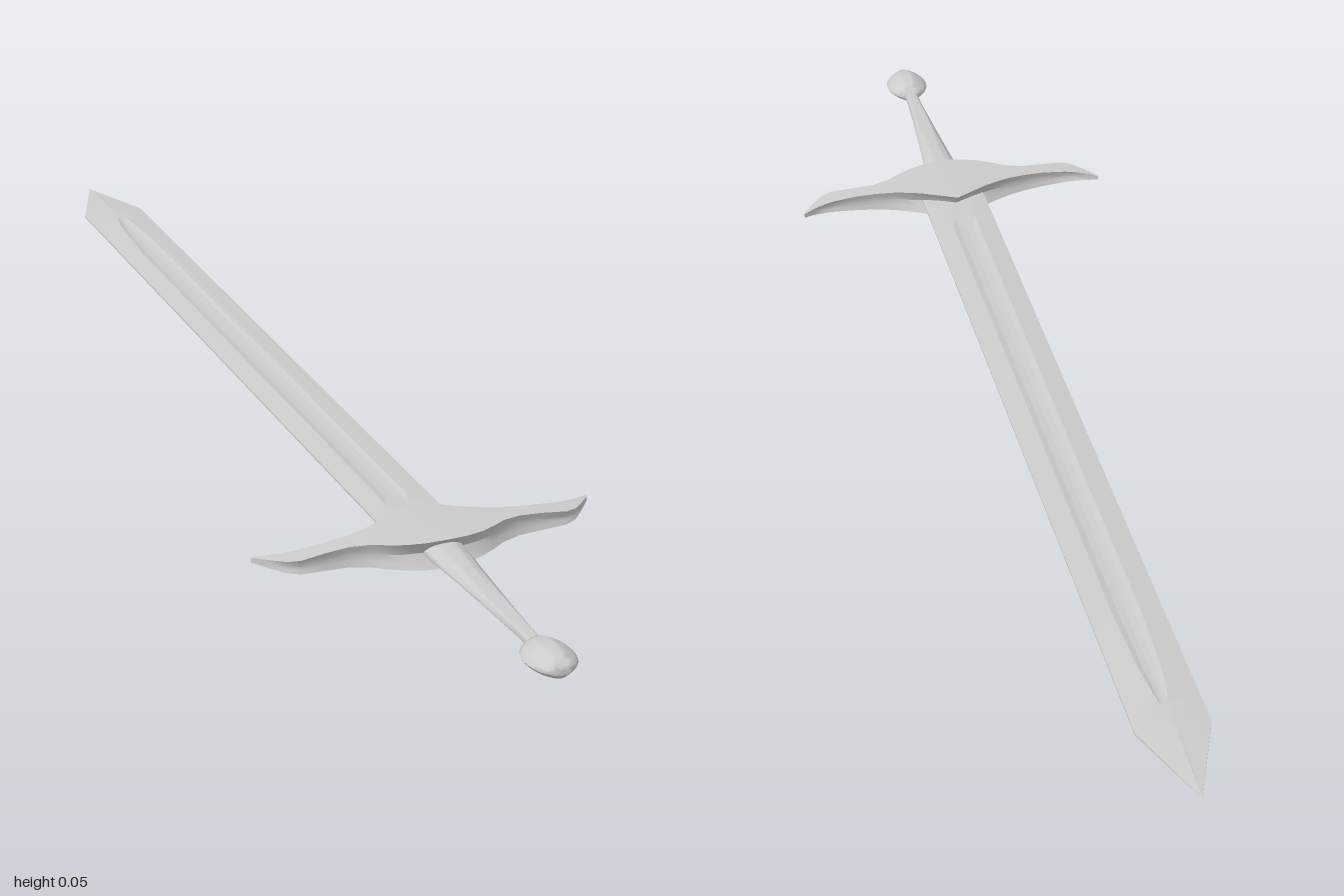
import * as THREE from 'three';
import { toCreasedNormals } from 'three/addons/utils/BufferGeometryUtils.js';

const MID = 0.024; // height of the sword's flat centre plane
const material = new THREE.MeshStandardMaterial({ color: 0xcccccc });

// Skin a list of closed rings of Vector3, with a fan cap at each end
function loft(name, rings, crease) {
  const n = rings[0].length, pos = [], index = [];
  rings.forEach((r) => r.forEach((p) => pos.push(p.x, p.y, p.z)));
  for (let i = 0; i < rings.length - 1; i++) {
    for (let j = 0; j < n; j++) {
      const a = i * n + j, b = i * n + (j + 1) % n;
      index.push(a, a + n, b, b, a + n, b + n);
    }
  }
  [0, rings.length - 1].forEach((i) => {
    const c = new THREE.Vector3();
    rings[i].forEach((p) => c.addScaledVector(p, 1 / n));
    const k = pos.length / 3;
    pos.push(c.x, c.y, c.z);
    for (let j = 0; j < n; j++) {
      const a = i * n + j, b = i * n + (j + 1) % n;
      if (i === 0) index.push(k, a, b);
      else index.push(k, b, a);
    }
  });
  const geo = new THREE.BufferGeometry();
  geo.setAttribute('position', new THREE.Float32BufferAttribute(pos, 3));
  geo.setIndex(index);
  const mesh = new THREE.Mesh(toCreasedNormals(geo, crease), material);
  mesh.name = name;
  return mesh;
}

// Soft diamond section of half width w and half height h
function softDiamond(z, w, h, power = 1.45) {
  const ring = [];
  for (let i = 0; i < 24; i++) {
    const a = (i / 24) * Math.PI * 2, c = Math.cos(a), s = Math.sin(a);
    ring.push(new THREE.Vector3(
      w * Math.sign(c) * Math.abs(c) ** power, MID + h * Math.sign(s) * Math.abs(s) ** power, z));
  }
  return ring;
}

// Blade: sharp edges, a raised ridge each side of a shallow fuller, diamond point
function blade() {
  // z, half width, ridge x, ridge height, centre height
  const stations = [
    [0.6, 0.055, 0.022, 0.005, 0.005],
    [0.47, 0.055, 0.022, 0.005, 0.005],
    [0.44, 0.055, 0.022, 0.005, 0.002],
    [-0.62, 0.055, 0.021, 0.005, 0.002],
    [-0.74, 0.055, 0.016, 0.006, 0.003],
    [-0.79, 0.055, 0.011, 0.007, 0.004],
    [-0.82, 0.055, 0.006, 0.007, 0.007],
    [-0.86, 0.055, 0.006, 0.0065, 0.007],
    [-0.93, 0.0275, 0.003, 0.0035, 0.004],
    [-1, 0.0004, 0.0002, 0.0003, 0.0004],
  ];
  const rings = stations.map(([z, w, rx, ry, cy]) => {
    const e = Math.min(0.0015, ry * 0.5);
    const top = [[w, e], [rx, ry], [rx * 0.55, cy + (ry - cy) * 0.25], [0, cy],
      [-rx * 0.55, cy + (ry - cy) * 0.25], [-rx, ry], [-w, e]];
    const bottom = top.map(([x, y]) => [-x, -y]);
    return [...top, ...bottom].map(([x, y]) => new THREE.Vector3(x, MID + y, z));
  });
  return loft('blade', rings, 0.12);
}

// Guard: swept wings whose height and depth taper outwards, with hollowed sides
function guard() {
  // x, blade-side z, hilt-side z, half height
  const half = [
    [0, 0.505, 0.636, 0.0232],
    [0.03, 0.522, 0.633, 0.0218],
    [0.06, 0.539, 0.625, 0.0203],
    [0.085, 0.549, 0.613, 0.0192],
    [0.105, 0.556, 0.601, 0.018],
    [0.135, 0.562, 0.593, 0.0162],
    [0.17, 0.565, 0.594, 0.0142],
    [0.21, 0.564, 0.597, 0.0108],
    [0.228, 0.561, 0.59, 0.009],
    [0.248, 0.555, 0.571, 0.0065],
    [0.267, 0.546, 0.55, 0.0035],
  ];
  const mirrored = half.slice(1).reverse().map(([x, ...rest]) => [-x, ...rest]);
  const rings = [...mirrored, ...half].map(([x, zb, zf, h]) => {
    const dip = (zf - zb) * 0.12;
    return [[zf - dip, 0], [zf - dip * 0.6, h * 0.5], [zf, h], [(zf + zb) / 2, h],
      [zb, h], [zb + dip * 0.6, h * 0.5], [zb + dip, 0], [zb + dip * 0.6, -h * 0.5],
      [zb, -h], [(zf + zb) / 2, -h], [zf, -h], [zf - dip * 0.6, -h * 0.5]]
      .map(([z, y]) => new THREE.Vector3(x, MID + y, z));
  });
  return loft('guard', rings, 0.6);
}

// Grip: tapers from the guard to the pommel
function grip() {
  const stations = [[0.93, 0.011, 0.008], [0.88, 0.0125, 0.009], [0.78, 0.019, 0.01],
    [0.7, 0.025, 0.011], [0.64, 0.03, 0.014], [0.6, 0.032, 0.015]];
  return loft('grip', stations.map(([z, w, h]) => softDiamond(z, w, h, 1.1)), 1);
}

// Pommel: flattened egg
function pommel() {
  const rings = [];
  for (let i = 0; i <= 14; i++) {
    const t = (i / 14) * Math.PI, r = Math.max(Math.sin(t), 0.02);
    rings.push(softDiamond(0.953 + 0.047 * Math.cos(t), 0.037 * r, 0.022 * r));
  }
  return loft('pommel', rings, 1);
}

export function createModel() {
  const sword = new THREE.Group();
  sword.name = 'sword';
  sword.add(blade(), guard(), grip(), pommel());
  return sword;
}
